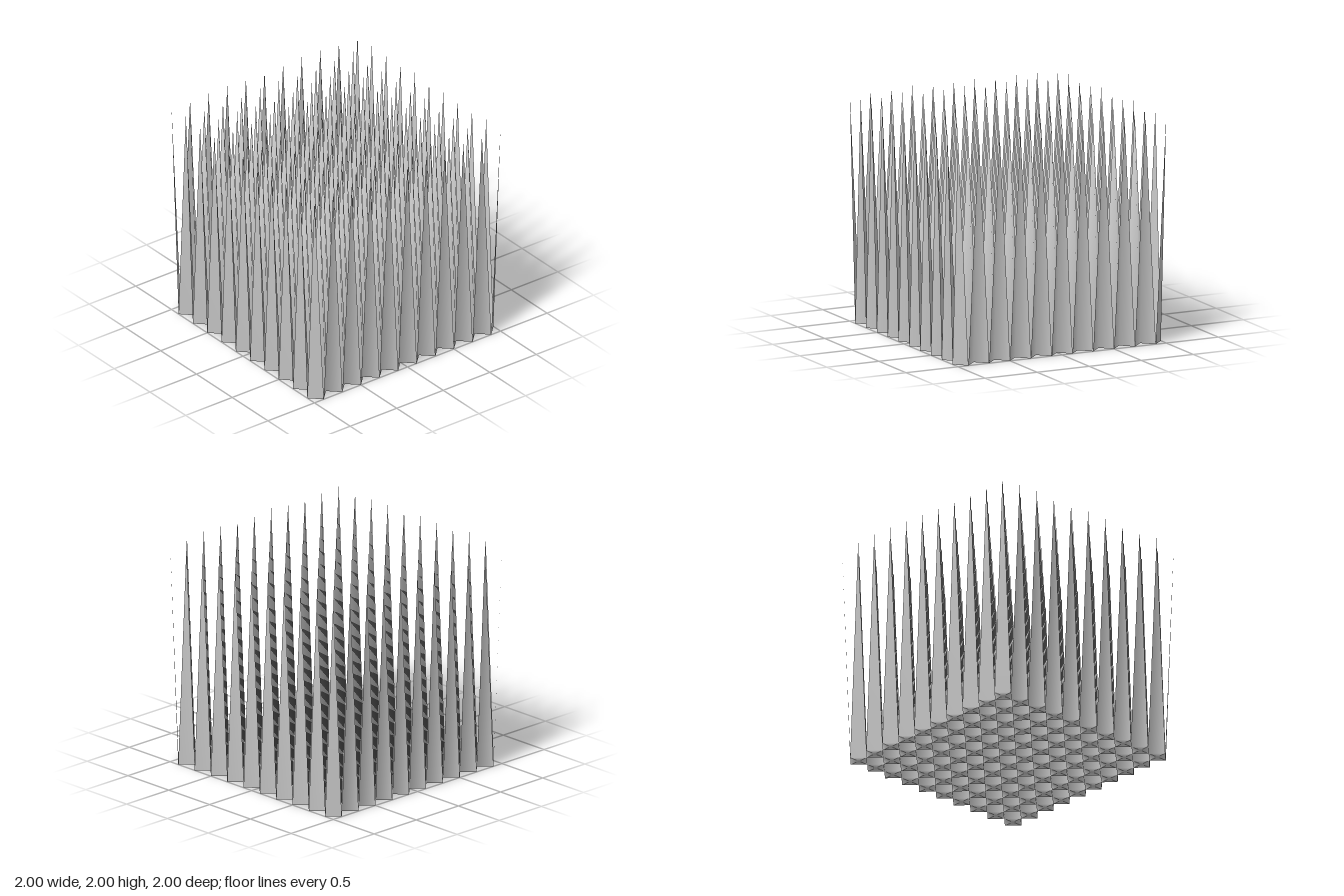
import * as THREE from 'three';
import { mergeGeometries } from 'three/addons/utils/BufferGeometryUtils.js';

const STEP = 0.1; // half the distance between spikes
const HALF = 10; // half the field's width in steps
const HEIGHT = 2;

// One hollow four-sided spike with flat corners, trimmed at the field's border.
// Each spike has its own vertices: smooth over the tip, sharp towards its neighbours.
function spike(column, line) {
  const inside = (n) => Math.abs(n) <= HALF;
  const clamp = (n) => THREE.MathUtils.clamp(n, -HALF, HALF) * STEP;
  const positions = [];
  for (let dz = -1; dz <= 1; dz++) {
    for (let dx = -1; dx <= 1; dx++) {
      positions.push(clamp(column + dx), dx === 0 && dz === 0 ? HEIGHT : 0, clamp(line + dz));
    }
  }

  const tip = 4;
  const index = [];
  for (const sx of [-1, 1]) {
    for (const sz of [-1, 1]) {
      if (!inside(column + sx) || !inside(line + sz)) continue;
      const side = tip + sx;
      const front = tip + 3 * sz;
      const corner = tip + sx + 3 * sz;
      // Steep face, then the flat corner beside it
      if (sx * sz > 0) index.push(tip, front, side, corner, side, front);
      else index.push(tip, side, front, corner, front, side);
    }
  }

  const geometry = new THREE.BufferGeometry();
  geometry.setAttribute('position', new THREE.Float32BufferAttribute(positions, 3));
  geometry.setIndex(index);
  geometry.computeVertexNormals();
  return geometry;
}

export function createModel() {
  const group = new THREE.Group();
  group.name = 'spikeField';

  const spikes = [];
  for (let line = -HALF; line <= HALF; line += 2) {
    for (let column = -HALF; column <= HALF; column += 2) {
      spikes.push(spike(column, line));
    }
  }

  const material = new THREE.MeshStandardMaterial({ color: 0xcccccc, side: THREE.DoubleSide });
  const sheet = new THREE.Mesh(mergeGeometries(spikes), material);
  sheet.name = 'spikedSheet';
  group.add(sheet);
  return group;
}
